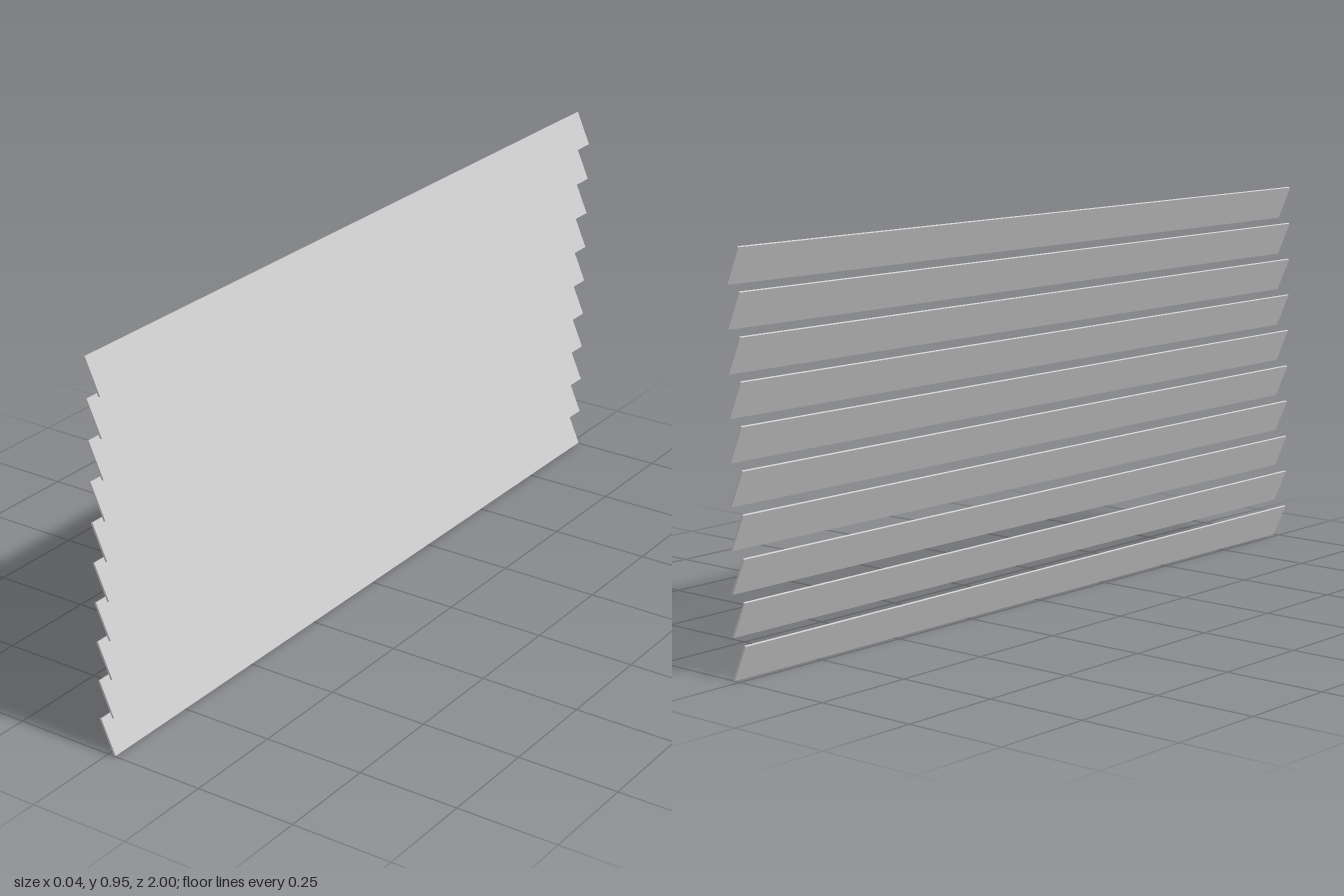
import * as THREE from 'three';

export function createModel() {
  const model = new THREE.Group();
  model.name = 'louvreBlind';
  const material = new THREE.MeshStandardMaterial({ color: 0xcccccc, flatShading: true });

  const count = 10, pitch = 0.0957;
  const width = 0.09, thickness = 0.005, length = 2;
  const tilt = THREE.MathUtils.degToRad(24);
  const halfHeight = (width * Math.cos(tilt) + thickness * Math.sin(tilt)) / 2;
  const geometry = new THREE.BoxGeometry(thickness, width, length);

  // Evenly stacked slats, each leaning its top edge towards -x
  for (let i = 0; i < count; i++) {
    const slat = new THREE.Mesh(geometry, material);
    slat.name = `slat${i + 1}`;
    slat.position.y = halfHeight + i * pitch;
    slat.rotation.z = tilt;
    model.add(slat);
  }
  return model;
}
